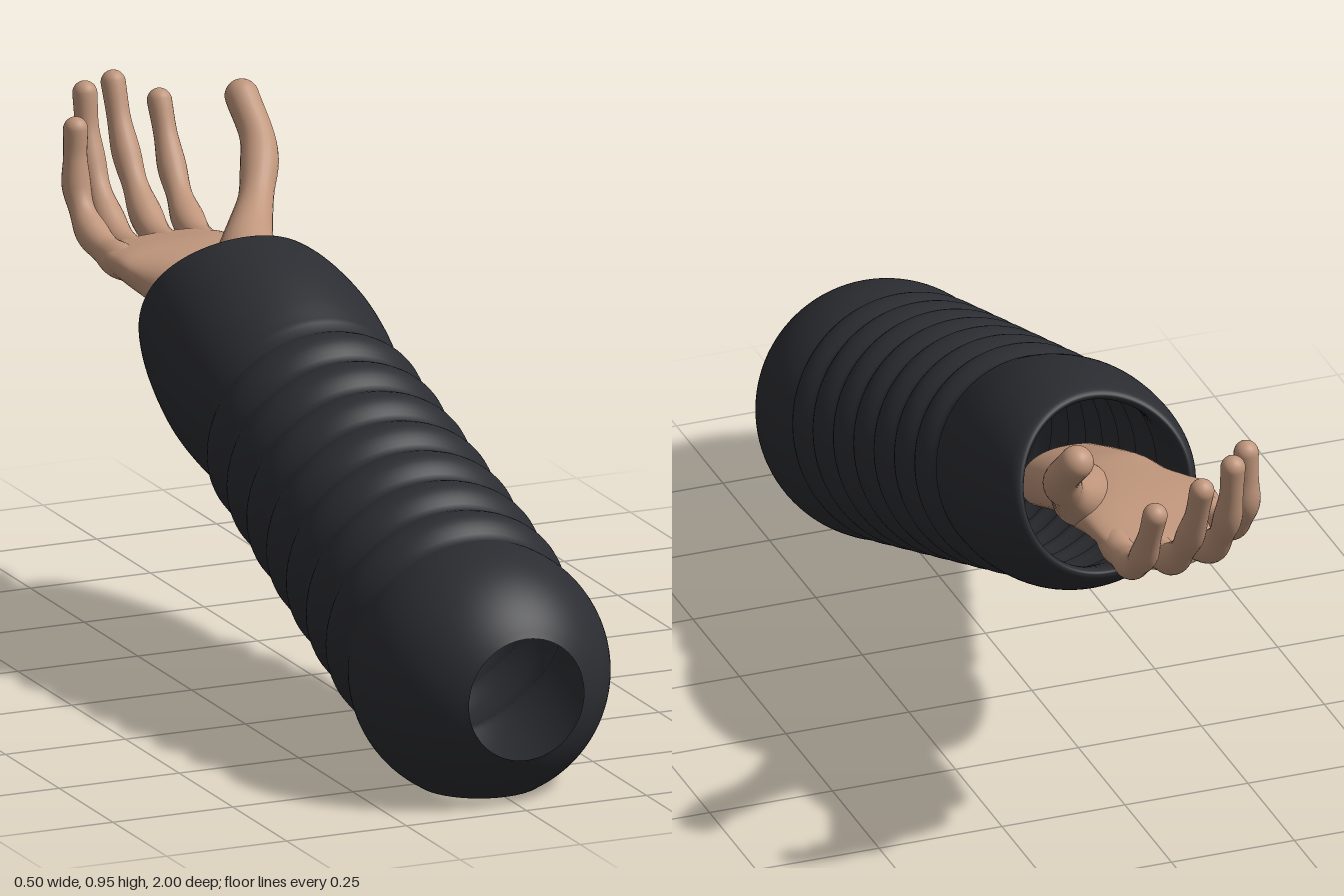
import * as THREE from 'three';

const skin = new THREE.MeshStandardMaterial({ color: 0xc0967c });
const fabric = new THREE.MeshStandardMaterial({ color: 0x2c2d32, side: THREE.DoubleSide });

// Closed rings joined into a skin; at(i, angle) returns a point, keep(a, b, c) can drop triangles
function loft(rings, sides, at, keep = () => true) {
  const pos = [], index = [];
  for (let i = 0; i < rings; i++)
    for (let j = 0; j < sides; j++) pos.push(...at(i, (j / sides) * Math.PI * 2));
  for (let i = 0; i < rings - 1; i++)
    for (let j = 0; j < sides; j++) {
      const k = (j + 1) % sides;
      const a = i * sides + j, b = i * sides + k, c = a + sides, d = b + sides;
      if (keep(a, b, c)) index.push(a, b, c);
      if (keep(b, d, c)) index.push(b, d, c);
    }
  const g = new THREE.BufferGeometry();
  g.setAttribute('position', new THREE.Float32BufferAttribute(pos, 3));
  g.setIndex(index);
  g.computeVertexNormals();
  return g;
}

function mesh(name, geometry, material) {
  const m = new THREE.Mesh(geometry, material);
  m.name = name;
  return m;
}

const spline = (pts) => new THREE.CatmullRomCurve3(pts.map((p) => new THREE.Vector3(...p)));

// Sleeve: round elbow, seven soft folds, plain cuff with a turned-in lip
function sleeve() {
  const R = 0.25, cy = 0.22, cz = 0.78, hole = 0.12, first = 0.11, pitch = 0.106;
  const ty = 0.331, tz = -0.944;
  const profile = []; // [distance along arm, radius]
  const last = Math.acos(-first / R);
  for (let i = 0; i < 48; i++) {
    const a = 0.001 + (last * i) / 48;
    profile.push([-R * Math.cos(a), R * Math.sin(a)]);
  }
  const folds = 7, steps = 10;
  for (let i = 0; i <= folds * steps; i++) {
    const k = i / steps;
    const ridge = 0.246 - 0.0035 * k;
    profile.push([first + k * pitch, ridge - 0.021 * (1 - Math.abs(Math.sin(k * Math.PI)))]);
  }
  const cuff = spline([[0.87, 0.209, 0], [0.94, 0.219, 0], [1.03, 0.222, 0], [1.11, 0.212, 0], [1.17, 0.196, 0],
    [1.205, 0.18, 0], [1.21, 0.17, 0], [1.2, 0.163, 0], [1.14, 0.165, 0], [1.0, 0.19, 0]]);
  for (const p of cuff.getPoints(54)) profile.push([p.x, p.y]);

  const sides = 96, cut = new Set();
  const g = loft(profile.length, sides, (i, a) => {
    let [s, r] = profile[i];
    // the cuff reaches further along its sides
    s += 0.04 * Math.cos(a) ** 2 * THREE.MathUtils.smoothstep(s, 1.02, 1.21);
    let x = r * Math.cos(a);
    let y = cy + s * ty + r * Math.sin(a) * tz;
    let z = cz + s * tz - r * Math.sin(a) * ty;
    const id = i * sides + Math.round((a / (Math.PI * 2)) * sides);
    // flat round openings at the front and underneath the elbow
    if (z > 1) {
      const f = hole / Math.max(1e-6, Math.hypot(x, y - cy));
      x *= f; y = cy + (y - cy) * f; z = 1;
      cut.add(id);
    } else if (y < 0) {
      const f = hole / Math.max(1e-6, Math.hypot(x, z - cz));
      x *= f; z = cz + (z - cz) * f; y = 0;
      cut.add(id);
    }
    return [x, y, z];
  }, (...ids) => !ids.every((id) => cut.has(id)));
  return mesh('sleeve', g, fabric);
}

// Digit: tapering tube with swollen joints and a rounded tip
function digit(name, path, radii) {
  const n = 44, cap = 10, sides = 24;
  const curve = spline(path);
  const frames = curve.computeFrenetFrames(n, false);
  const pts = curve.getSpacedPoints(n);
  const radius = spline(radii.map((r, i) => [i, r, 0]));
  const end = radii[radii.length - 1];
  const g = loft(n + 1 + cap, sides, (i, a) => {
    const k = Math.min(i, n);
    const p = pts[k].clone();
    let r = radius.getPoint(k / n).y;
    if (i > n) {
      const t = ((i - n) / cap) * Math.PI * 0.499;
      r = end * Math.cos(t);
      p.addScaledVector(frames.tangents[n], end * Math.sin(t));
    }
    p.addScaledVector(frames.normals[k], r * Math.cos(a));
    p.addScaledVector(frames.binormals[k], r * Math.sin(a));
    return p.toArray();
  });
  return mesh(name, g, skin);
}

// Palm and wrist: flattened cross-sections, cupped upwards
function palm() {
  const centre = spline([[0, 0.56, -0.2], [0, 0.6, -0.3], [0, 0.632, -0.39], [0, 0.645, -0.46], [-0.006, 0.655, -0.53],
    [-0.014, 0.66, -0.6], [-0.018, 0.658, -0.67], [-0.018, 0.656, -0.72], [-0.018, 0.656, -0.755], [-0.018, 0.656, -0.76]]);
  const size = spline([[0.098, 0.066, 0], [0.102, 0.066, 0], [0.108, 0.065, 0], [0.118, 0.062, 0], [0.132, 0.056, 0],
    [0.14, 0.049, 0], [0.138, 0.041, 0], [0.128, 0.033, 0], [0.1, 0.018, 0], [0.002, 0.002, 0]]);
  const n = 60;
  const g = loft(n, 48, (i, a) => {
    const u = i / (n - 1), c = centre.getPoint(u), h = size.getPoint(u);
    const bend = THREE.MathUtils.smoothstep(-c.z, 0.42, 0.68);
    const e = (v) => Math.sign(v) * Math.abs(v) ** 0.85;
    const dx = h.x * e(Math.cos(a));
    const y = c.y - h.y * e(Math.sin(a)) + bend * (1.2 * dx * dx - 0.006);
    // knuckle line slants back towards the little finger
    const slant = bend * (2.6 * (dx - 0.03) ** 2);
    return [c.x + dx, y, c.z + slant];
  });
  return mesh('palm', g, skin);
}

export function createModel() {
  const model = new THREE.Group();
  model.name = 'sleevedArm';
  const hand = new THREE.Group();
  hand.name = 'hand';
  hand.add(palm());

  const fingerRadii = [0.03, 0.035, 0.029, 0.032, 0.025, 0.028, 0.023, 0.024];
  const fingers = {
    littleFinger: [[-0.115, 0.665, -0.58], [-0.122, 0.672, -0.67], [-0.13, 0.7, -0.74], [-0.134, 0.76, -0.79], [-0.134, 0.82, -0.8], [-0.132, 0.882, -0.803]],
    ringFinger: [[-0.06, 0.655, -0.62], [-0.061, 0.657, -0.71], [-0.063, 0.685, -0.79], [-0.065, 0.765, -0.865], [-0.065, 0.84, -0.897], [-0.064, 0.916, -0.912]],
    middleFinger: [[0.012, 0.655, -0.62], [0.016, 0.657, -0.72], [0.02, 0.68, -0.8], [0.022, 0.752, -0.885], [0.022, 0.83, -0.937], [0.022, 0.911, -0.972]],
    indexFinger: [[0.07, 0.66, -0.6], [0.085, 0.66, -0.7], [0.096, 0.68, -0.79], [0.108, 0.735, -0.878], [0.112, 0.8, -0.925], [0.112, 0.868, -0.958]],
  };
  for (const [name, path] of Object.entries(fingers)) hand.add(digit(name, path, fingerRadii));

  hand.add(digit('thumb',
    [[0.05, 0.64, -0.38], [0.075, 0.665, -0.47], [0.115, 0.705, -0.55], [0.165, 0.765, -0.625], [0.205, 0.84, -0.705], [0.205, 0.913, -0.782]],
    [0.046, 0.06, 0.056, 0.043, 0.034, 0.037, 0.033, 0.033]));

  model.add(sleeve(), hand);
  return model;
}
